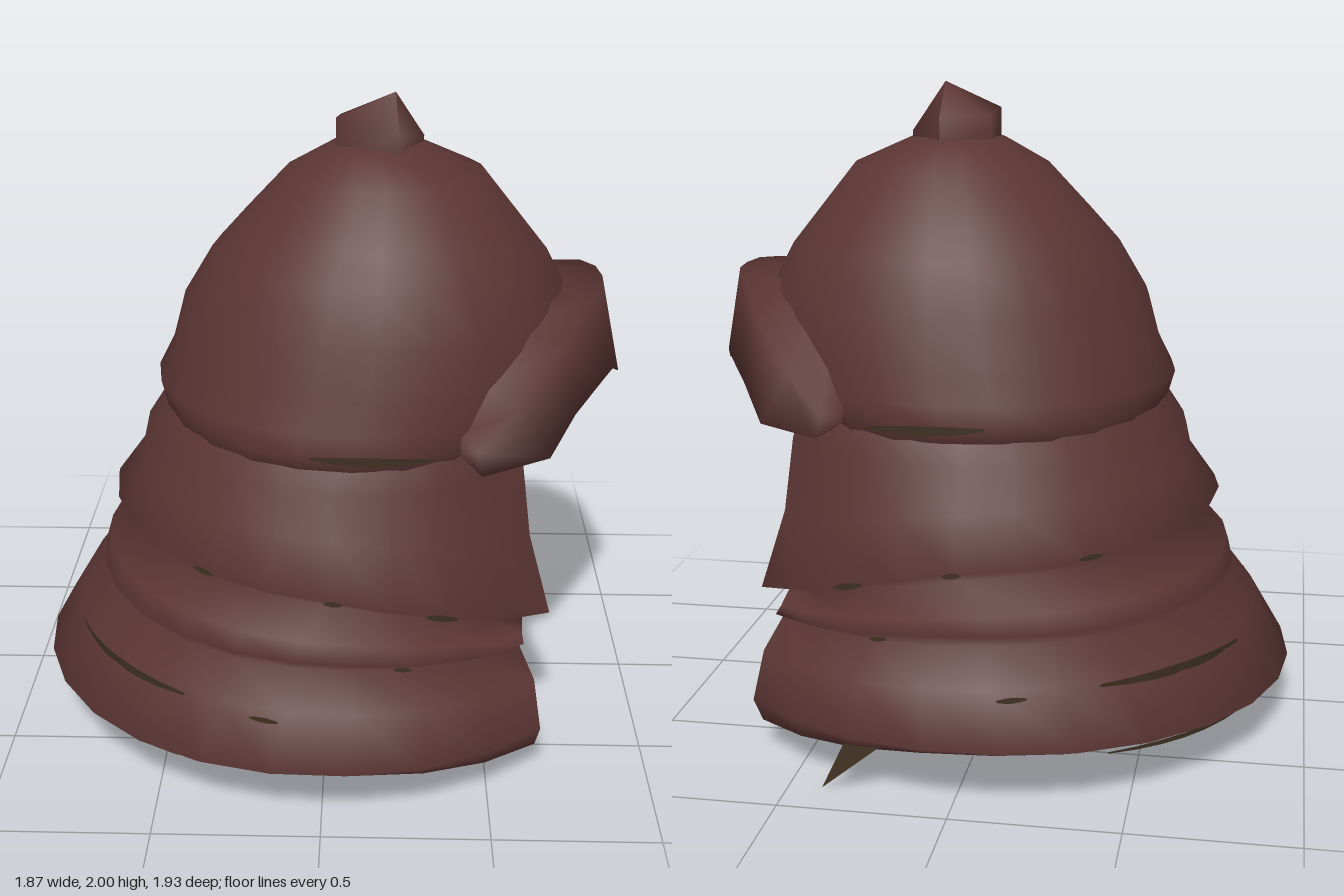
import * as THREE from 'three';

const leather = new THREE.MeshStandardMaterial({ color: 0x5a3533, side: THREE.DoubleSide });
leather.name = 'brown leather';
const lining = new THREE.MeshStandardMaterial({ color: 0x3d3020, side: THREE.DoubleSide });
lining.name = 'dark olive lining';

// Skin a grid of points (rows of equal length) into one smooth surface.
function skin(rows) {
  const n = rows[0].length;
  const index = [];
  for (let r = 0; r < rows.length - 1; r++) {
    for (let c = 0; c < n - 1; c++) {
      const a = r * n + c, b = a + 1, d = a + n, e = d + 1;
      index.push(a, b, d, b, e, d);
    }
  }
  const g = new THREE.BufferGeometry();
  g.setAttribute('position', new THREE.Float32BufferAttribute(rows.flat(2), 3));
  g.setIndex(index);
  g.computeVertexNormals();
  return g;
}

// Ring of points open toward +x by half angle h; height runs back, side, end.
function ring([yBack, ySide, yEnd, cx, rx, rz, h], n = 20) {
  const pts = [];
  for (let i = 0; i <= n; i++) {
    const t = h + (i / n) * (2 * Math.PI - 2 * h);
    const d = Math.abs(Math.PI - t);
    const y = d < Math.PI / 2
      ? THREE.MathUtils.lerp(yBack, ySide, d / (Math.PI / 2))
      : THREE.MathUtils.lerp(ySide, yEnd, (d - Math.PI / 2) / (Math.PI / 2 - h));
    pts.push([cx + rx * Math.cos(t), y, rz * Math.sin(t)]);
  }
  return pts;
}

// Closed dome ring whose front rises to yFront above the face opening.
function domeRing([y, yFront, cx, rx, rz]) {
  return ring([y, y, y, cx, rx, rz, 0], 24).map(([x, , z]) => {
    const d = Math.PI - Math.abs(Math.atan2(z / rz, (x - cx) / rx));
    const w = THREE.MathUtils.smoothstep(d, 2.25, 2.75);
    return [x, y + (yFront - y) * w, z];
  });
}

// Thin worn streak on an elliptical band, tapering at both ends.
function streak([t0, t1, y0, y1, thick, cx, rx, rz], side) {
  const rows = [[], []];
  for (let i = 0; i <= 6; i++) {
    const k = i / 6, t = t0 + (t1 - t0) * k;
    const half = thick * Math.sin(Math.PI * (0.1 + 0.8 * k)) / 2;
    const y = y0 + (y1 - y0) * k;
    const x = cx + rx * Math.cos(t), z = side * rz * Math.sin(t);
    rows[0].push([x, y + half, z]);
    rows[1].push([x, y - half, z]);
  }
  return skin(rows);
}

export function createModel() {
  const group = new THREE.Group();
  const add = (name, geometry, material = leather) => {
    const mesh = new THREE.Mesh(geometry, material);
    mesh.name = name;
    group.add(mesh);
  };

  // Dome
  add('dome', skin([
    [1.85, 1.85, 0.16, 0.01, 0.01],
    [1.83, 1.83, 0.15, 0.15, 0.15],
    [1.75, 1.75, 0.17, 0.31, 0.28],
    [1.6, 1.6, 0.16, 0.44, 0.4],
    [1.5, 1.5, 0.155, 0.525, 0.47],
    [1.35, 1.35, 0.15, 0.61, 0.53],
    [1.2, 1.24, 0.13, 0.63, 0.57],
    [1.1, 1.18, 0.1, 0.65, 0.6],
    [1.03, 1.15, 0.08, 0.61, 0.62],
    [0.99, 1.15, 0.08, 0.6, 0.6],
  ].map(domeRing)));

  // Crooked five-sided knob on top
  const corners = [[0.18, 1.9, -0.15], [0.03, 1.9, -0.09], [0.02, 1.92, 0.05], [0.21, 1.89, 0.15], [0.29, 1.85, -0.03]];
  const loop = [...corners, corners[0]];
  add('knob', skin([
    loop.map(() => [0.2, 2, 0.05]),
    loop,
    loop.map(([x, , z]) => [x, 1.76, z * 0.95]),
  ]));

  // Neck guard folded into three tiers: [yBack, ySide, yEnd, cx, rx, rz, opening]
  add('neckGuard', skin([
    [1.04, 1.02, 1.03, 0.1, 0.62, 0.58, 0.68],
    [0.93, 0.93, 0.93, 0.08, 0.67, 0.63, 0.68],
    [0.84, 0.79, 0.7, 0.08, 0.69, 0.68, 0.65],
    [0.72, 0.64, 0.46, 0.08, 0.78, 0.76, 0.66],
    [0.67, 0.6, 0.45, 0.07, 0.7, 0.7, 0.68],
    [0.55, 0.53, 0.44, 0.05, 0.78, 0.8, 0.78],
    [0.48, 0.49, 0.43, 0.05, 0.8, 0.85, 0.8],
    [0.46, 0.44, 0.42, 0.04, 0.79, 0.8, 0.8],
    [0.35, 0.35, 0.32, 0.03, 0.86, 0.9, 0.78],
    [0.16, 0.19, 0.18, 0.0, 0.94, 0.97, 0.79],
    [0.12, 0.16, 0.09, 0.02, 0.88, 0.91, 0.77],
  ].map((r) => ring(r))));

  // Inner wall following the folds
  add('innerWall', skin([
    [1.06, 1.06, 1.06, 0.08, 0.57, 0.57, 0.7],
    [0.9, 0.9, 0.9, 0.07, 0.64, 0.61, 0.69],
    [0.66, 0.6, 0.47, 0.07, 0.68, 0.68, 0.69],
    [0.46, 0.44, 0.42, 0.04, 0.77, 0.78, 0.8],
    [0.34, 0.34, 0.3, 0.03, 0.84, 0.87, 0.78],
    [0.2, 0.22, 0.16, 0.02, 0.86, 0.89, 0.77],
  ].map((r) => ring(r))));

  // Underside of the hem
  add('hemLining', skin([
    [0.12, 0.16, 0.09, 0.02, 0.88, 0.91, 0.77],
    [0.2, 0.22, 0.16, 0.02, 0.86, 0.89, 0.77],
  ].map((r) => ring(r))), lining);

  // Lining worn through along the seams, on both sides:
  // [start angle, end angle, start y, end y, thickness, cx, rx, rz]
  const streaks = [
    [1.18, 1.77, 1.025, 1.04, 0.03, 0.08, 0.617, 0.627],
    [2.12, 2.22, 0.673, 0.678, 0.018, 0.08, 0.783, 0.763],
    [1.6, 1.67, 0.638, 0.642, 0.018, 0.08, 0.783, 0.763],
    [1.15, 1.28, 0.56, 0.585, 0.022, 0.08, 0.783, 0.763],
    [1.3, 1.37, 0.45, 0.458, 0.015, 0.05, 0.8, 0.835],
    [2.1, 2.77, 0.345, 0.33, 0.03, 0.03, 0.873, 0.912],
    [1.75, 1.85, 0.325, 0.33, 0.018, 0.03, 0.878, 0.918],
    [2.1, 2.7, 0.145, 0.13, 0.015, 0.02, 0.905, 0.93],
  ];
  streaks.forEach((s, i) => {
    add(`rightWornSeam${i + 1}`, streak(s, 1), lining);
    add(`leftWornSeam${i + 1}`, streak(s, -1), lining);
  });

  // Brow visor: half sections of inner top, outer top, outer bottom, inner bottom
  const half = [
    [[0.69, 1.39, 0], [0.86, 1.41, 0], [0.93, 1.09, 0], [0.74, 1.16, 0]],
    [[0.68, 1.39, 0.11], [0.85, 1.41, 0.1], [0.9, 1.14, 0.1], [0.73, 1.16, 0.11]],
    [[0.64, 1.39, 0.22], [0.81, 1.4, 0.2], [0.85, 1.14, 0.22], [0.69, 1.15, 0.22]],
    [[0.54, 1.35, 0.32], [0.71, 1.31, 0.39], [0.75, 1.1, 0.4], [0.62, 1.11, 0.36]],
    [[0.46, 1.21, 0.45], [0.57, 1.17, 0.54], [0.67, 1.0, 0.5], [0.54, 1.0, 0.44]],
    [[0.4, 1.08, 0.52], [0.45, 1.06, 0.61], [0.46, 1.0, 0.64], [0.44, 1.0, 0.54]],
    [[0.4, 1.03, 0.55], [0.4, 1.03, 0.55], [0.4, 1.03, 0.55], [0.4, 1.03, 0.55]],
  ];
  const mirrored = half.slice(1).reverse().map((s) => s.map(([x, y, z]) => [x, y, -z]));
  add('visor', skin([...mirrored, ...half].map((s) => [...s, s[0]])));

  // Loose lining flaps inside each cheek
  for (const s of [1, -1]) {
    add(s > 0 ? 'rightCheekLining' : 'leftCheekLining', skin([
      [[0.57, 1.12, 0.33 * s], [0.48, 1.1, 0.4 * s]],
      [[0.54, 0.92, 0.39 * s], [0.46, 0.9, 0.44 * s]],
      [[0.54, 0.45, 0.46 * s], [0.53, 0.45, 0.47 * s]],
    ]), lining);
  }

  // Torn lining strips: one at the hem, one hanging inside the left cheek
  add('tornHemStrip', skin([
    [[0.2, 0.17, -0.9], [0.33, 0.15, -0.86]],
    [[0.4, 0, -0.87], [0.4, 0, -0.87]],
  ]), lining);
  add('tornInnerStrip', skin([
    [[0.03, 0.42, -0.5], [0.2, 0.4, -0.56]],
    [[0.38, 0.05, -0.41], [0.36, 0.12, -0.63]],
  ]), lining);

  return group;
}
